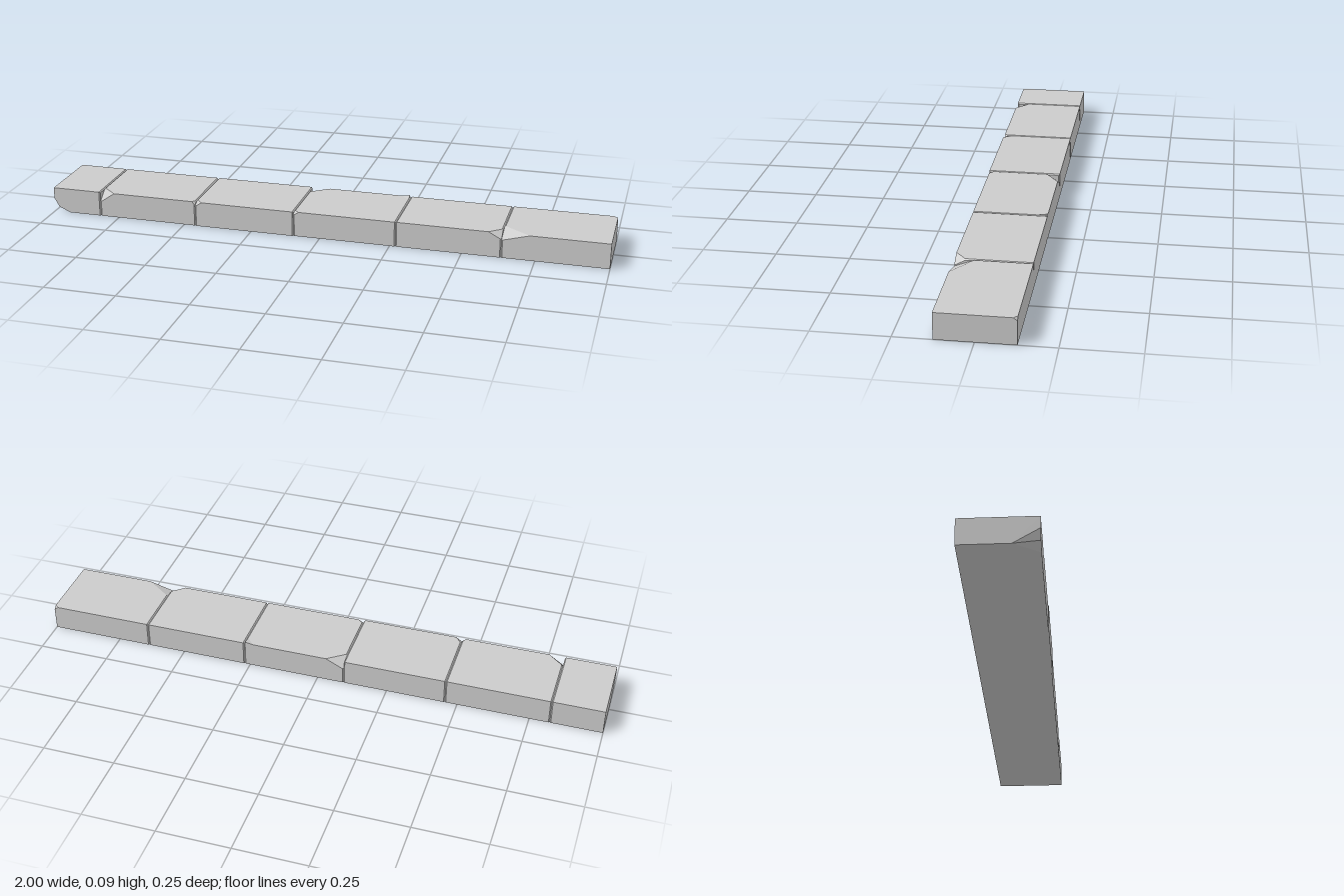
import * as THREE from 'three';
import { ConvexGeometry } from 'three/addons/geometries/ConvexGeometry.js';

const HEIGHT = 0.09, FRONT = 0.125, BACK = -0.128, BEVEL = 0.004;

// One stone: a box with narrow joint bevels. Each chip names a corner by its
// signs (+1 / -1 along x, y, z) and says how far it is cut along each axis.
function stoneGeometry({ x0, x1, front = FRONT, chips = [], extra = [] }) {
  const points = extra.map(p => new THREE.Vector3(...p));
  for (const sx of [-1, 1]) for (const sy of [-1, 1]) for (const sz of [-1, 1]) {
    const x = sx < 0 ? x0 : x1;
    const y = sy < 0 ? 0 : HEIGHT;
    const z = sz < 0 ? BACK : front;
    const bevel = Math.abs(x) > 0.99 ? 0 : BEVEL;
    const chip = chips.find(c => c.at[0] === sx && c.at[1] === sy && c.at[2] === sz);
    if (chip) {
      const [dx, dy, dz] = chip.cut;
      points.push(
        new THREE.Vector3(x - sx * dx, y, z),
        new THREE.Vector3(x, y - sy * dy, z - sz * bevel),
        new THREE.Vector3(x - sx * bevel, y - sy * dy, z),
        new THREE.Vector3(x, y - sy * bevel, z - sz * dz),
        new THREE.Vector3(x - sx * bevel, y, z - sz * dz));
    } else {
      points.push(
        new THREE.Vector3(x - sx * bevel, y, z),
        new THREE.Vector3(x, sy > 0 ? y - bevel : y, z - sz * bevel));
    }
  }
  return new ConvexGeometry(points);
}

export function createModel() {
  const group = new THREE.Group();
  group.name = 'stoneCurb';
  const material = new THREE.MeshStandardMaterial({ color: 0xcccccc, flatShading: true });

  // Stones from the right end to the left end, with their broken corners
  const stones = [
    { name: 'rightEndStone', x0: -1, x1: -0.82,
      chips: [{ at: [-1, -1, 1], cut: [0.06, 0.05, 0.085] }],
      extra: [[-0.982, 0.018, FRONT]] },
    { name: 'secondStone', x0: -0.82, x1: -0.457,
      chips: [{ at: [-1, 1, 1], cut: [0.055, 0.035, 0.045] },
              { at: [1, 1, 1], cut: [0.012, 0.008, 0.01] }] },
    { name: 'thirdStone', x0: -0.457, x1: -0.095, front: 0.127,
      chips: [{ at: [-1, 1, 1], cut: [0.025, 0.014, 0.025] }] },
    { name: 'fourthStone', x0: -0.095, x1: 0.27,
      chips: [{ at: [-1, 1, -1], cut: [0.065, 0.03, 0.045] },
              { at: [-1, 1, 1], cut: [0.02, 0.01, 0.015] }] },
    { name: 'fifthStone', x0: 0.27, x1: 0.635,
      chips: [{ at: [1, 1, 1], cut: [0.045, 0.022, 0.035] }] },
    { name: 'leftEndStone', x0: 0.635, x1: 1,
      chips: [{ at: [-1, 1, 1], cut: [0.095, 0.025, 0.065] },
              { at: [1, 1, -1], cut: [0.015, 0.01, 0.012] }] },
  ];
  for (const stone of stones) {
    const mesh = new THREE.Mesh(stoneGeometry(stone), material);
    mesh.name = stone.name;
    group.add(mesh);
  }

  // Slightly raised back corner of the fourth stone
  const lip = new THREE.Mesh(new ConvexGeometry([
    [0.225, 0.088, BACK], [0.266, 0.088, BACK], [0.266, 0.088, -0.083], [0.266, 0.095, BACK],
  ].map(p => new THREE.Vector3(...p))), material);
  lip.name = 'raisedCorner';
  group.add(lip);

  return group;
}
